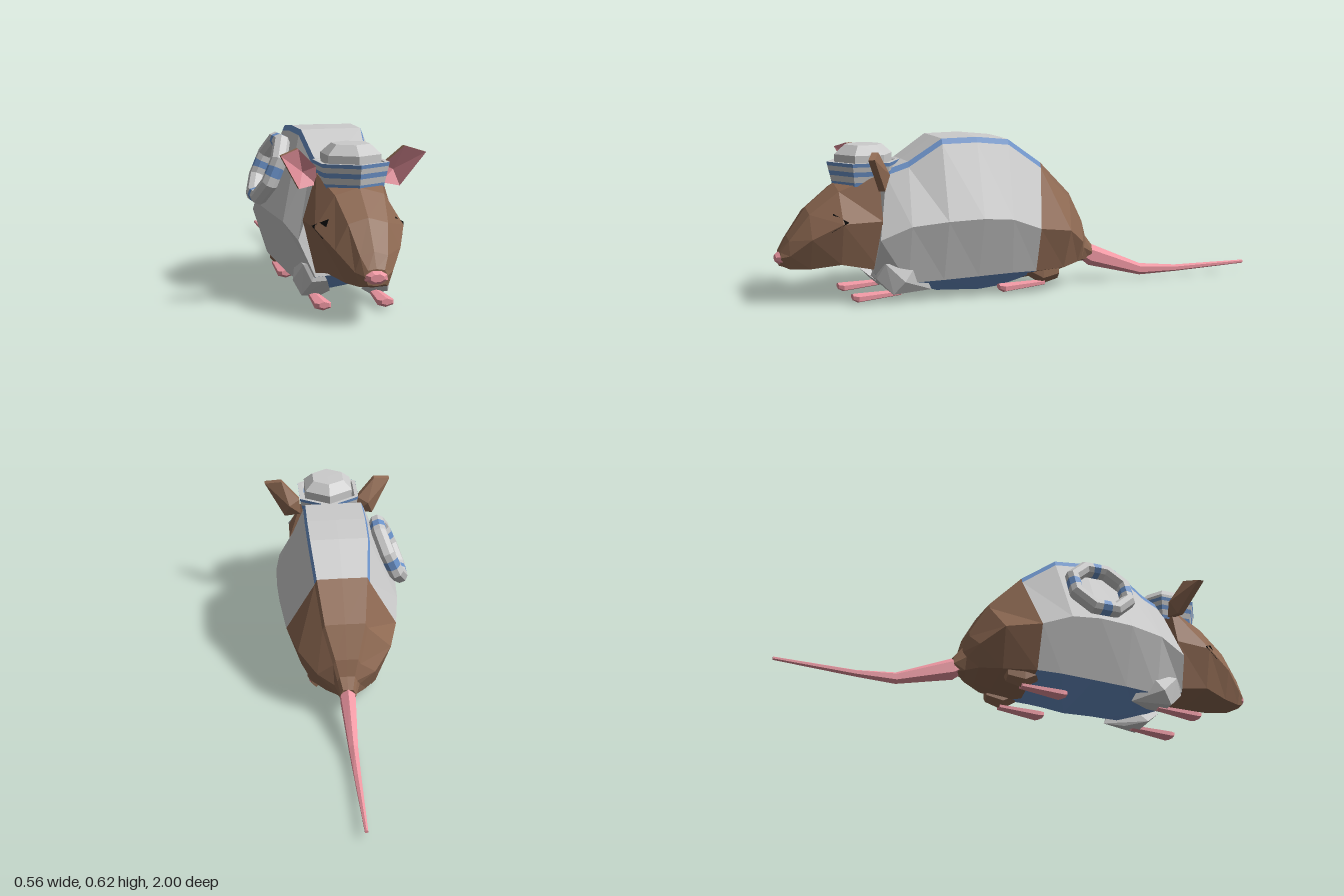
import * as THREE from 'three';
import { ConvexGeometry } from 'three/addons/geometries/ConvexGeometry.js';

const material = (color, side = THREE.FrontSide) =>
  new THREE.MeshStandardMaterial({ color, flatShading: true, side });
const GREY = material(0xcccccc), GREY2 = material(0xcccccc, THREE.DoubleSide);
const BROWN = material(0x8f6a53), PINK = material(0xee97a2), BLACK = material(0x0a0a0a);
const BLUE = material(0x6c94cc), BLUE2 = material(0x6c94cc, THREE.DoubleSide);

// Skin a run of cross-sections (rings [i0,i1], columns [j0,j1]); caps close the two ends.
function loft(rings, { i0 = 0, i1 = rings.length - 1, j0 = 0, j1 = rings[0].length, caps = false } = {}) {
  const n = rings[0].length, pos = [];
  const at = (i, j) => rings[i][(j + n) % n];
  const tri = (...pts) => pts.forEach((p) => pos.push(...p));
  for (let i = i0; i < i1; i++) for (let j = j0; j < j1; j++) {
    tri(at(i, j), at(i + 1, j), at(i, j + 1));
    tri(at(i, j + 1), at(i + 1, j), at(i + 1, j + 1));
  }
  if (caps) for (let j = 1; j < n - 1; j++) {
    tri(at(i0, 0), at(i0, j), at(i0, j + 1));
    tri(at(i1, 0), at(i1, j + 1), at(i1, j));
  }
  const geo = new THREE.BufferGeometry();
  geo.setAttribute('position', new THREE.Float32BufferAttribute(pos, 3));
  geo.computeVertexNormals();
  return geo;
}

// Complete a half section (bottom centre, +x side, top centre) by mirroring it
const mirrorRing = (half) => [...half, ...half.slice(1, -1).reverse().map(([x, y, z]) => [-x, y, z])];

// Elliptical section facing z
const oval = (n, x, y, z, rx, ry) => Array.from({ length: n }, (_, k) => {
  const a = (k + 0.5) / n * Math.PI * 2;
  return [x + rx * Math.cos(a), y + ry * Math.sin(a), z];
});

const hull = (pts) => new ConvexGeometry(pts.map((p) => new THREE.Vector3(...p)));

export function createModel() {
  const model = new THREE.Group();
  const rat = new THREE.Group();
  rat.name = 'rat';
  rat.position.x = 0.012;
  model.add(rat);
  const add = (name, geo, mat, parent = rat) => {
    const mesh = new THREE.Mesh(geo, mat);
    mesh.name = name;
    parent.add(mesh);
    return mesh;
  };

  // Body sections, front to back: top z,y,halfWidth | side z,w,y | lower z,w,y | belly z,y
  const body = [
    [0.585, 0.505, 0.085, 0.635, 0.19, 0.25, 0.65, 0.13, 0.115, 0.63, 0.12],
    [0.50, 0.535, 0.10, 0.52, 0.22, 0.30, 0.52, 0.16, 0.075, 0.50, 0.05],
    [0.37, 0.62, 0.115, 0.38, 0.24, 0.315, 0.38, 0.17, 0.08, 0.36, 0.008],
    [0.23, 0.622, 0.117, 0.24, 0.245, 0.32, 0.24, 0.17, 0.085, 0.18, 0],
    [0.10, 0.608, 0.115, 0.12, 0.24, 0.31, 0.10, 0.17, 0.09, 0.09, 0.01],
    [-0.04, 0.51, 0.10, 0, 0.222, 0.265, 0, 0.165, 0.09, 0, 0.035],
    [-0.17, 0.38, 0.08, -0.14, 0.185, 0.245, -0.13, 0.13, 0.09, -0.13, 0.05],
    [-0.24, 0.26, 0.045, -0.22, 0.115, 0.185, -0.21, 0.08, 0.1, -0.20, 0.07],
    [-0.262, 0.195, 0.03, -0.25, 0.05, 0.15, -0.25, 0.035, 0.1, -0.24, 0.085],
    [-0.295, 0.155, 0.02, -0.295, 0.032, 0.125, -0.285, 0.022, 0.095, -0.28, 0.09],
  ].map(([tz, ty, tw, sz, sw, sy, lz, lw, ly, bz, by]) => mirrorRing([
    [0, by, bz], [lw, ly, lz], [sw, sy, sz],
    [tw + 0.009, ty - 0.021, tz], [tw, ty, tz], [0, ty + 0.001, tz],
  ]));
  add('hindBody', loft(body, { i0: 5, caps: true }), BROWN);
  add('collar', loft(body, { i1: 0, caps: true }), GREY);
  const vest = (name, j0, j1, mat) => add(name, loft(body, { i0: 0, i1: 5, j0, j1 }), mat);
  vest('belly', -1, 1, BLUE);
  vest('vestLeft', 1, 3, GREY);
  vest('vestStripeLeft', 3, 4, BLUE);
  vest('vestBack', 4, 6, GREY);
  vest('vestStripeRight', 6, 7, BLUE);
  vest('vestRight', 7, 9, GREY);

  // Head, snout to neck: z, top y | ridge x,y | cheek x,y | jaw x,y | chin y
  const head = [
    [0.985, 0.205, 0.03, 0.20, 0.042, 0.18, 0.03, 0.15, 0.145],
    [0.955, 0.26, 0.05, 0.245, 0.068, 0.19, 0.05, 0.138, 0.135],
    [0.88, 0.365, 0.072, 0.345, 0.118, 0.255, 0.08, 0.138, 0.133],
    [0.77, 0.455, 0.09, 0.43, 0.163, 0.315, 0.122, 0.155, 0.147],
    [0.62, 0.52, 0.12, 0.49, 0.17, 0.32, 0.13, 0.125, 0.11],
  ].map(([z, t, rx, ry, cx, cy, jx, jy, b]) =>
    mirrorRing([[0, b, z], [jx, jy, z], [cx, cy, z], [rx, ry, z], [0, t, z]]));
  add('head', loft(head, { caps: true }), BROWN);
  add('nose', loft([oval(8, 0, 0.175, 1, 0.026, 0.014), oval(8, 0, 0.175, 0.982, 0.045, 0.027),
    oval(8, 0, 0.176, 0.95, 0.04, 0.025)], { caps: true }), PINK);

  // Tail
  add('tail', loft([[-0.25, 0.135, 0.034, 0.036], [-0.29, 0.113, 0.034, 0.046], [-0.52, 0.036, 0.02, 0.024],
    [-0.68, 0.03, 0.015, 0.014], [-1, 0.038, 0.007, 0.007]]
    .map(([z, y, rx, ry]) => oval(6, 0, y, z, rx, ry)), { caps: true }), PINK);

  // Paired parts
  for (const [s, side] of [[1, 'Left'], [-1, 'Right']]) {
    const m = (pts) => pts.map(([x, y, z]) => [s * x, y, z]);

    add('eye' + side, hull(m([[0.121, 0.352, 0.80], [0.145, 0.284, 0.812], [0.17, 0.322, 0.75],
      [0.11, 0.31, 0.77]])), BLACK);

    // Ear leaning forward: cupped pink front, brown back
    const rim = m([[0.12, 0.45, 0.63], [0.188, 0.437, 0.64], [0.268, 0.565, 0.70],
      [0.198, 0.586, 0.668], [0.125, 0.515, 0.635]]);
    const back = rim.map(([x, y, z]) => [x, y, z - 0.025]);
    const ring = (p) => rim.map(() => p);
    const order = (rings) => (s > 0 ? rings : rings.map((r) => [...r].reverse()));
    add('innerEar' + side, loft(order([ring([s * 0.17, 0.495, 0.615]), rim])), PINK);
    add('outerEar' + side, loft(order([rim, back, ring([s * 0.168, 0.495, 0.59])])), BROWN);

    add('sleeve' + side, hull(m([[0.13, 0.17, 0.49], [0.165, 0.16, 0.48], [0.12, 0.165, 0.63],
      [0.165, 0.155, 0.61], [0.188, 0.085, 0.54], [0.165, 0.035, 0.58], [0.10, 0.025, 0.57],
      [0.06, 0.05, 0.59], [0.085, 0.1, 0.65], [0.14, 0.095, 0.64], [0.10, 0.03, 0.50],
      [0.13, 0.04, 0.42]])), GREY);

    // Front paw, hind foot and hind leg
    const foot = (name, z, len, x) => add(name + side, loft([
      oval(6, s * x, 0.028, z, 0.022, 0.012), oval(6, s * x, 0.023, z - 0.02, 0.035, 0.018),
      oval(6, s * x, 0.034, z - len, 0.018, 0.011)], { caps: true }), PINK);
    foot('frontPaw', 0.73, 0.19, 0.117);
    foot('hindFoot', 0.14, 0.19, 0.117);
    add('hindLeg' + side, loft([oval(6, s * 0.117, 0.11, 0.02, 0.026, 0.045),
      oval(6, s * 0.117, 0.082, -0.04, 0.03, 0.055), oval(6, s * 0.112, 0.09, -0.11, 0.022, 0.045)],
      { caps: true }), BROWN);
  }

  // Six-sided sailor hat: striped flaring band, rim and faceted crown
  const hat = new THREE.Group();
  hat.name = 'hat';
  hat.position.z = 0.65;
  rat.add(hat);
  const lathe = (name, pts, mat) =>
    add(name, new THREE.LatheGeometry(pts.map((p) => new THREE.Vector2(...p)), 6), mat, hat);
  const heights = [0.447, 0.462, 0.485, 0.503, 0.522, 0.536];
  const radius = (y) => 0.123 + (y - 0.447) * 0.24;
  for (let i = 0; i < 5; i++)
    lathe('hatBand' + (i + 1), [heights[i], heights[i + 1]].map((y) => [radius(y), y]), i % 2 ? GREY2 : BLUE2);
  lathe('hatRim', [[0.144, 0.536], [0.127, 0.536], [0.118, 0.52]], GREY2);
  lathe('hatCrown', [[0.112, 0.5], [0.114, 0.563], [0.073, 0.599], [0, 0.6]], GREY2);

  // Octagonal life ring leaning on the right flank
  const buoy = new THREE.Group();
  buoy.name = 'lifeRing';
  buoy.position.set(-0.217, 0.463, 0.252);
  buoy.lookAt(-0.217 - 0.92, 0.463 + 0.39, 0.252);
  rat.add(buoy);
  const section = [[0.138, -0.013], [0.138, 0.013], [0.122, 0.03], [0.1, 0.03],
    [0.086, 0.013], [0.086, -0.013], [0.1, -0.03], [0.122, -0.03]];
  const path = [];
  for (let q = 0; q <= 4; q++) for (const t of q < 4 ? [-0.414, -0.15, 0.15, 0.414] : [-0.414]) {
    const c = Math.cos(q * Math.PI / 2), d = Math.sin(q * Math.PI / 2);
    path.push(section.map(([r, z]) => [r * (c - d * t), r * (d + c * t), z]));
  }
  for (let i = 0; i < 16; i++)
    add('lifeRingSegment' + (i + 1), loft(path, { i0: i, i1: i + 1 }), i % 4 === 1 ? BLUE : GREY, buoy);

  return model;
}
